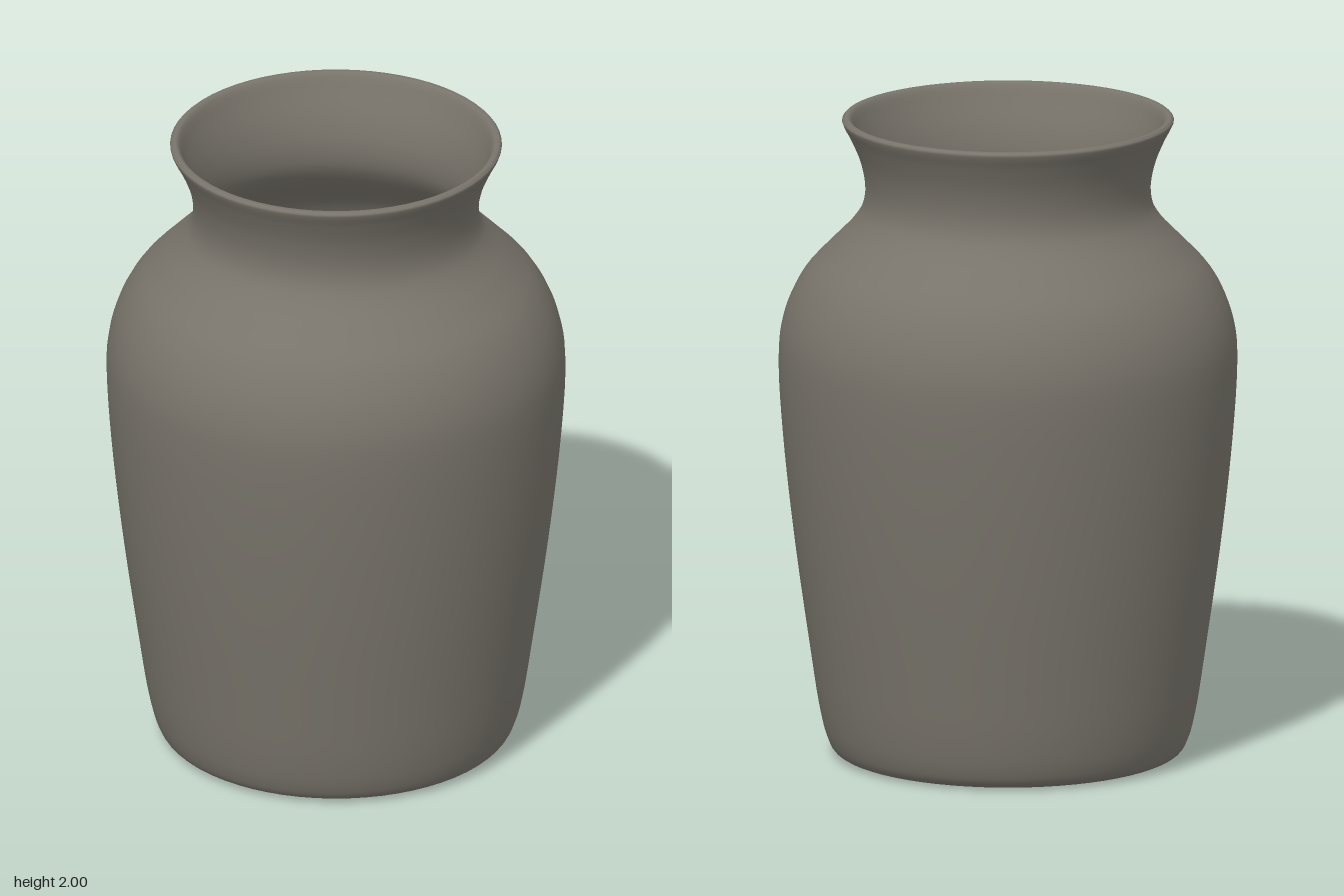
import * as THREE from 'three';

// Smooth curve through [radius, height] points
function smooth(points, steps) {
  const curve = new THREE.CatmullRomCurve3(
    points.map(([r, y]) => new THREE.Vector3(r, y, 0)), false, 'centripetal');
  return curve.getPoints(steps).map((p) => new THREE.Vector2(Math.max(p.x, 0), p.y));
}

function lathe(name, profile, material) {
  const mesh = new THREE.Mesh(new THREE.LatheGeometry(profile, 64), material);
  mesh.name = name;
  return mesh;
}

export function createModel() {
  const clay = new THREE.MeshStandardMaterial({ color: 0x78746b });
  clay.name = 'grey clay';

  const vase = new THREE.Group();
  vase.name = 'vase';

  // Underside with a shallow recess, rounded foot, body, shoulder, neck and flared lip
  const outer = smooth([
    [0, 0.02], [0.2, 0.02], [0.33, 0.02], [0.365, 0.014], [0.4, 0.003], [0.44, 0], [0.5, 0.003],
    [0.535, 0.02], [0.556, 0.06], [0.578, 0.15], [0.606, 0.33], [0.655, 0.68],
    [0.69, 1.0], [0.704, 1.23], [0.698, 1.33], [0.67, 1.43], [0.62, 1.52],
    [0.545, 1.6], [0.478, 1.67], [0.447, 1.72], [0.438, 1.78], [0.452, 1.86],
    [0.485, 1.94], [0.506, 1.98], [0.509, 1.992], [0.502, 2.0],
  ], 110);
  vase.add(lathe('outerWall', outer, clay));

  // Rounded rim, inner wall and floor
  const inner = smooth([
    [0.502, 2.0], [0.49, 2.0], [0.481, 1.992], [0.462, 1.95], [0.426, 1.86], [0.411, 1.78],
    [0.42, 1.71], [0.455, 1.65], [0.522, 1.58], [0.597, 1.5], [0.645, 1.41],
    [0.671, 1.32], [0.676, 1.23], [0.662, 1.0], [0.627, 0.68], [0.578, 0.33],
    [0.55, 0.15], [0.528, 0.08], [0.49, 0.05], [0.42, 0.045], [0.2, 0.045], [0, 0.045],
  ], 90);
  vase.add(lathe('innerWall', inner, clay));

  return vase;
}
